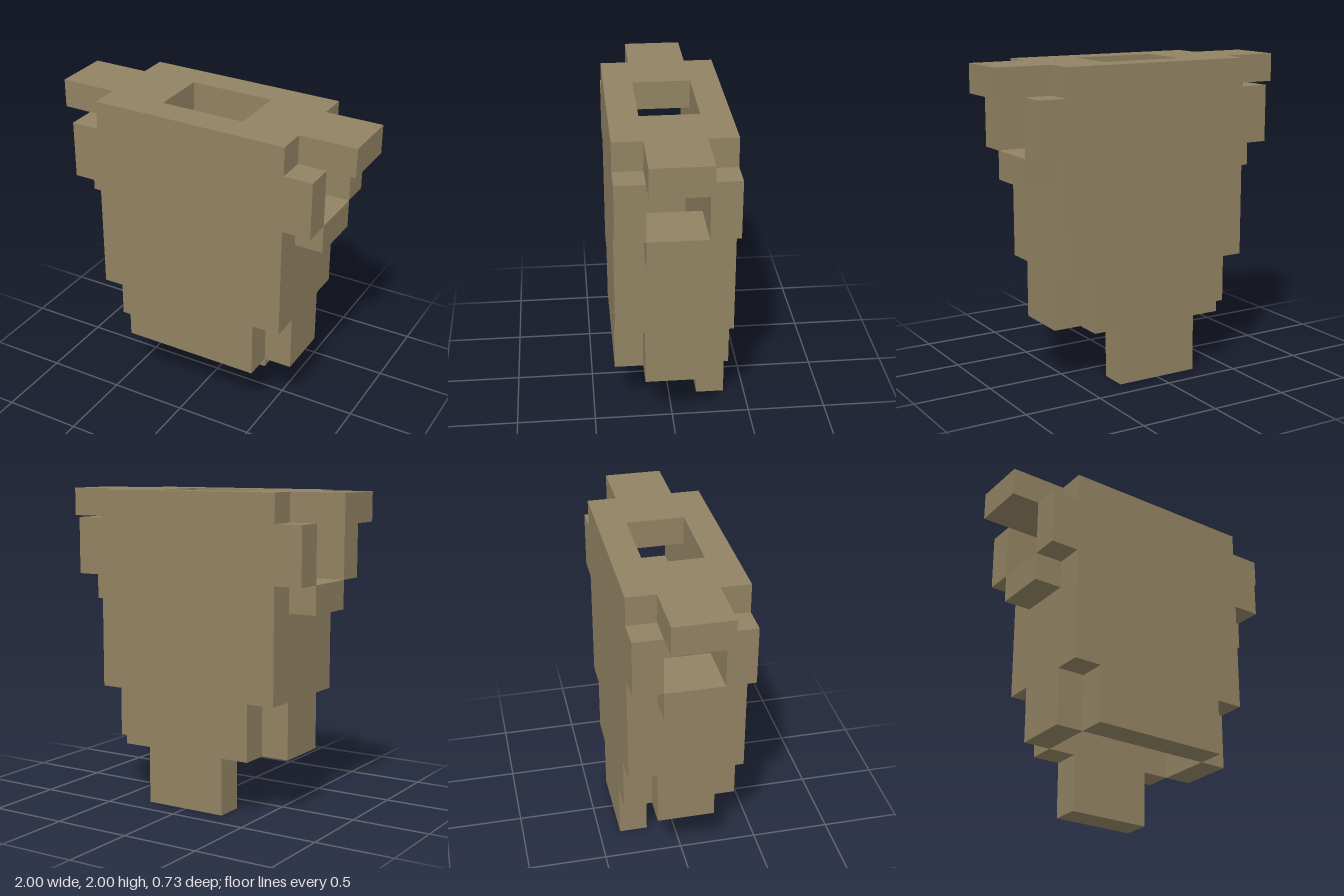
import * as THREE from 'three';

const U = 2 / 11; // one block

// Extrudes an outline given in block units
function slab(points, depth, hole) {
  const toVectors = (list) => list.map(([x, y]) => new THREE.Vector2(x * U, y * U));
  const shape = new THREE.Shape(toVectors(points));
  if (hole) shape.holes.push(new THREE.Path(toVectors(hole)));
  return new THREE.ExtrudeGeometry(shape, { depth: depth * U, bevelEnabled: false });
}

// Completes a right-hand outline (listed bottom to top) with its mirror image
const mirrored = (half) => [...half, ...half.map(([x, y]) => [-x, y]).reverse()];

const rectangle = (w, h) => [[-w, -h], [w, -h], [w, h], [-w, h]];

export function createModel() {
  const model = new THREE.Group();
  model.name = 'blockShell';
  const tan = new THREE.MeshStandardMaterial({ color: 0x918262 });
  tan.name = 'tan';

  const add = (name, geometry, x, y, z) => {
    const mesh = new THREE.Mesh(geometry, tan);
    mesh.name = name;
    mesh.position.set(x * U, y * U, z * U);
    model.add(mesh);
  };

  // Front and back plates: stepped bottom, shoulder tabs near the top
  const upper = [
    [2.5, 2], [2.5, 4], [3.5, 4], [3.5, 8], [4.5, 8], [4.5, 10], [3.5, 10], [3.5, 11],
  ];
  add('frontPlate', slab(mirrored(upper), 1), 0, 0, 1);

  // The back plate carries the tail tab
  add('backPlate', slab(mirrored([[1.5, 0], [1.5, 2], ...upper]), 1), 0, 0, -2);

  // Side walls with an outward ledge, open above it and hollow between
  for (const [side, name] of [[1, 'leftWall'], [-1, 'rightWall']]) {
    const outline = [[2.5, 2], [3.5, 2], [3.5, 7], [4.5, 7], [4.5, 8], [2.5, 8]];
    add(name, slab(outline.map(([x, y]) => [side * x, y]), 2), 0, 0, -1);
  }

  // Top beam with overhanging arms and a neck opening
  const beam = slab(rectangle(5.5, 1), 1, rectangle(1.5, 0.999));
  beam.rotateX(-Math.PI / 2);
  add('topBeam', beam, 0, 10, 0);

  return model;
}
